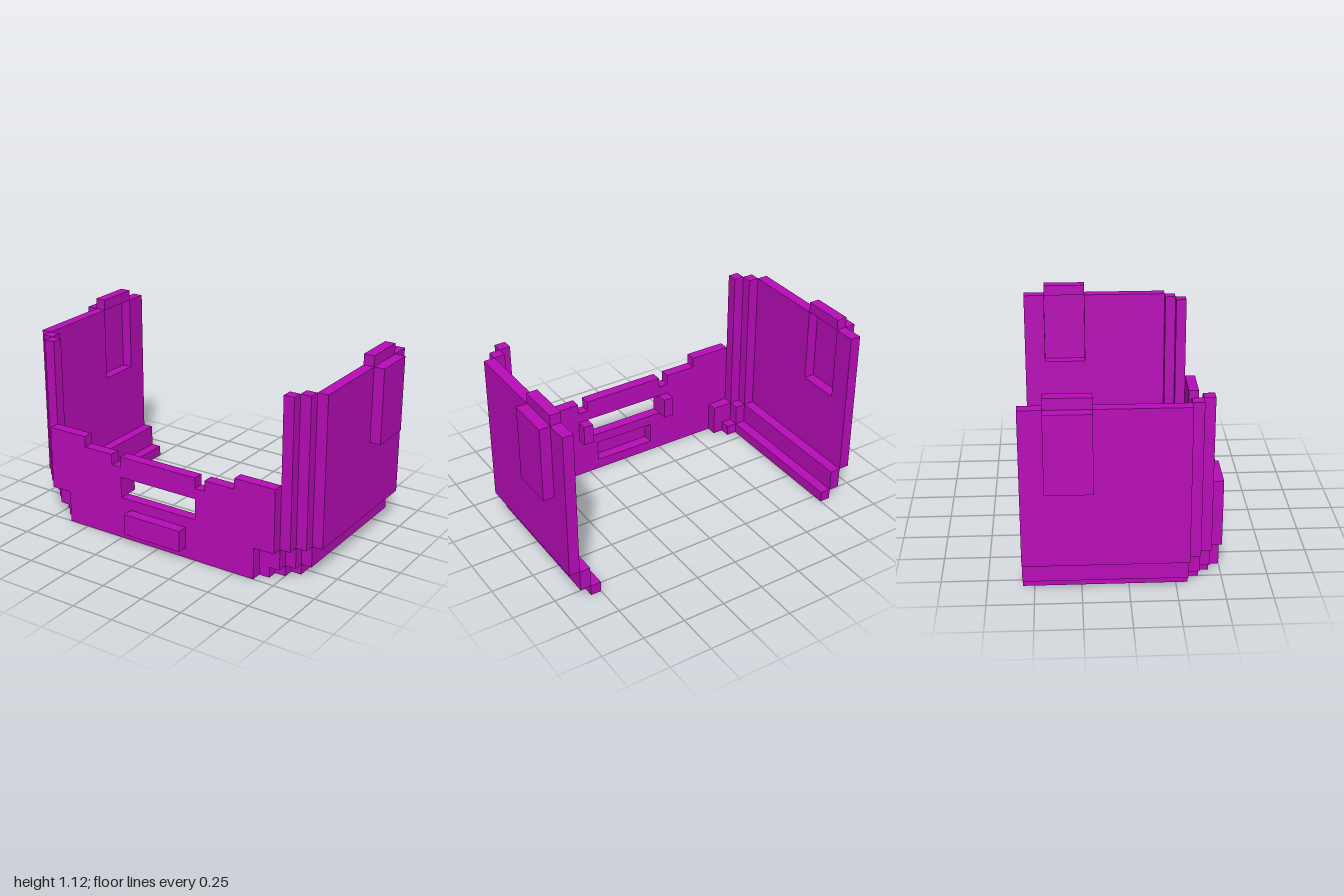
import * as THREE from 'three';

const U = 1 / 16; // every part sits on a sixteenth grid

export function createModel() {
  const model = new THREE.Group();
  model.name = 'openFrame';
  const magenta = new THREE.MeshStandardMaterial({ color: 0xb80cb8 });
  magenta.name = 'magenta';

  const add = (parent, name, geometry) => {
    const mesh = new THREE.Mesh(geometry, magenta);
    mesh.name = name;
    parent.add(mesh);
  };
  // box from grid limits; side = -1 mirrors it across x
  const box = (parent, name, side, [x0, x1], [y0, y1], [z0, z1]) => {
    const g = new THREE.BoxGeometry((x1 - x0) * U, (y1 - y0) * U, (z1 - z0) * U);
    g.translate(side * (x0 + x1) / 2 * U, (y0 + y1) / 2 * U, (z0 + z1) / 2 * U);
    add(parent, name, g);
  };
  const points = (list) => list.map(([a, b]) => new THREE.Vector2(a * U, b * U));
  const slab = (shape) => new THREE.ExtrudeGeometry(shape, { depth: U, bevelEnabled: false });

  // front plate: stepped outline with a window and an opening behind the grille
  const half = [[10, 0], [10, 3], [12, 3], [12, 9], [8, 9], [8, 8], [5, 8], [5, 7], [4, 7], [4, 8]];
  const mirrored = half.map(([x, y]) => [-x, y]).reverse();
  const plate = new THREE.Shape(points([...half, ...mirrored]));
  plate.holes.push(new THREE.Path(points([[-4, 4], [-4, 6], [4, 6], [4, 4]])));
  plate.holes.push(new THREE.Path(points([[-3, 1], [-3, 3], [3, 3], [3, 1]])));
  add(model, 'frontPlate', slab(plate).translate(0, 0, 7 * U));
  box(model, 'grille', 1, [-3, 3], [1, 3], [8, 9]);

  for (const side of [1, -1]) {
    const group = new THREE.Group();
    group.name = side > 0 ? 'leftSide' : 'rightSide';
    model.add(group);

    // side panel with a slot that the raised pocket closes
    const panel = new THREE.Shape(points(
      [[-9, 3], [5, 3], [5, 17], [-3, 17], [-3, 10], [-7, 10], [-7, 17], [-9, 17]]));
    add(group, 'sidePanel', slab(panel).rotateY(-Math.PI / 2).translate((side > 0 ? 15 : -14) * U, 0, 0));
    box(group, 'pocketWall', side, [15, 16], [10, 17], [-7, -3]);
    box(group, 'pocketCap', side, [14, 15], [17, 18], [-7, -3]);

    // stepped rails along the bottom
    box(group, 'upperRail', side, [13, 14], [1, 3], [-9, 5]);
    box(group, 'lowerRail', side, [12, 13], [0, 1], [-9, 5]);

    // stepped corner between side and front
    box(group, 'rearColumn', side, [13, 14], [3, 17], [5, 6]);
    box(group, 'frontColumn', side, [12, 13], [3, 17], [6, 7]);
    box(group, 'rearCornerStep', side, [12, 13], [1, 3], [5, 6]);
    box(group, 'rearCornerFoot', side, [11, 12], [0, 1], [5, 6]);
    box(group, 'frontCornerStep', side, [10, 12], [1, 3], [6, 7]);
    box(group, 'frontCornerFoot', side, [10, 11], [0, 1], [6, 7]);

    // small block behind the plate beside the window
    box(group, 'windowBlock', side, [4, 5], [4, 6], [6, 7]);
  }
  return model;
}
